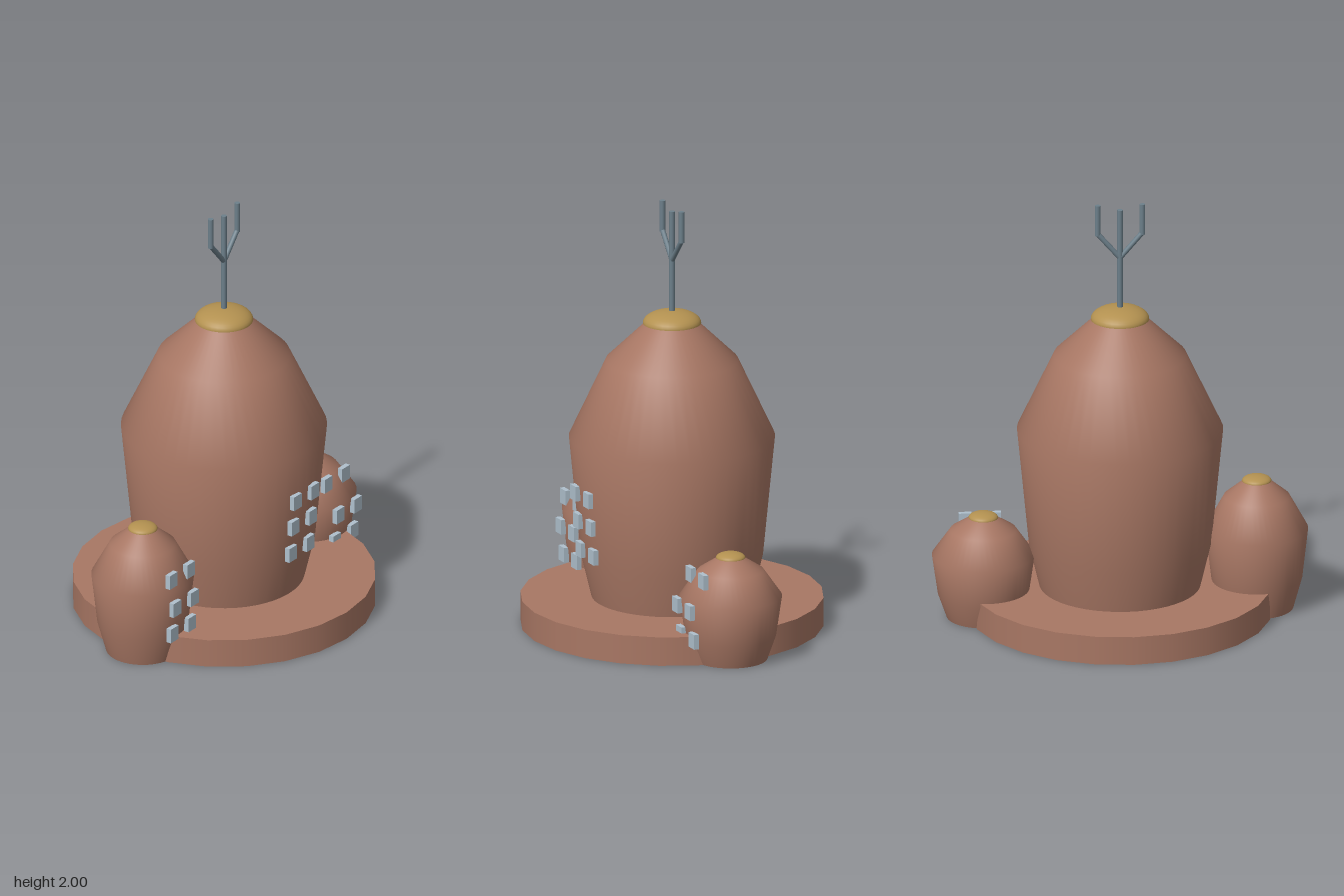
import * as THREE from 'three';

const clay = new THREE.MeshStandardMaterial({ color: 0xa87764 });
clay.name = 'clay';
const gold = new THREE.MeshStandardMaterial({ color: 0xb39150 });
gold.name = 'gold';
const glass = new THREE.MeshStandardMaterial({ color: 0xafc0cd });
glass.name = 'paleGlass';
const steel = new THREE.MeshStandardMaterial({ color: 0x6d808b });
steel.name = 'steel';

// Tower outline as fractions of the widest radius and the height
const PROFILE = [[0.715, 0], [0.885, 0.236], [1, 0.625], [0.642, 0.878], [0.26, 1]];

function add(parent, name, geometry, material, x = 0, y = 0, z = 0) {
  const mesh = new THREE.Mesh(geometry, material);
  mesh.name = name;
  mesh.position.set(x, y, z);
  parent.add(mesh);
  return mesh;
}

// Outline radius at a given height
function radiusAt(y, radius, height) {
  const t = y / height;
  for (let i = 1; i < PROFILE.length; i++) {
    const [r0, t0] = PROFILE[i - 1];
    const [r1, t1] = PROFILE[i];
    if (t <= t1) return radius * (r0 + (r1 - r0) * (t - t0) / (t1 - t0));
  }
  return 0;
}

function makeTower({ name, x, radius, height, capRadius, capHeight, rows }) {
  const tower = new THREE.Group();
  tower.name = name;
  tower.position.x = x;

  const points = PROFILE.map(([r, t]) => new THREE.Vector2(r * radius, t * height));
  add(tower, 'wall', new THREE.LatheGeometry(points, 48), clay);
  const foot = new THREE.CircleGeometry(PROFILE[0][0] * radius, 48).rotateX(Math.PI / 2);
  add(tower, 'foot', foot, clay);

  // Flattened dome with a closed underside
  const dome = new THREE.SphereGeometry(capRadius, 32, 10, 0, Math.PI * 2, 0, Math.PI / 2);
  dome.scale(1, capHeight / capRadius, 1);
  add(tower, 'cap', dome, gold, 0, height, 0);
  const under = new THREE.CircleGeometry(capRadius, 32).rotateX(Math.PI / 2);
  add(tower, 'capUnderside', under, gold, 0, height, 0);

  // Two columns of windows on the front
  for (const y of rows) {
    for (const side of [-1, 1]) {
      add(tower, 'window', new THREE.BoxGeometry(0.06, 0.07, 0.024), glass,
        side * 0.068, y, radiusAt(y, radius, height) + 0.008);
    }
  }
  return tower;
}

// Straight round rod between two points
function addRod(parent, name, from, to, r) {
  const a = new THREE.Vector3(...from);
  const b = new THREE.Vector3(...to);
  const dir = b.clone().sub(a);
  const rod = add(parent, name, new THREE.CylinderGeometry(r, r, dir.length(), 10), steel);
  rod.position.copy(a).add(b).multiplyScalar(0.5);
  rod.quaternion.setFromUnitVectors(new THREE.Vector3(0, 1, 0), dir.normalize());
}

export function createModel() {
  const model = new THREE.Group();
  model.name = 'towers';

  // Round plinth
  add(model, 'plinth', new THREE.CylinderGeometry(0.7, 0.7, 0.136, 24), clay, 0, 0.068, 0);

  model.add(
    makeTower({ name: 'mainTower', x: 0, radius: 0.475, height: 1.44,
      capRadius: 0.135, capHeight: 0.06, rows: [0.39, 0.53, 0.665] }),
    makeTower({ name: 'rightTower', x: -0.632, radius: 0.237, height: 0.62,
      capRadius: 0.068, capHeight: 0.026, rows: [0.17, 0.306, 0.444] }),
    makeTower({ name: 'leftTower', x: 0.632, radius: 0.237, height: 0.483,
      capRadius: 0.068, capHeight: 0.026, rows: [0.13, 0.27, 0.408] }),
  );

  // Three-pronged mast
  const mast = new THREE.Group();
  mast.name = 'mast';
  addRod(mast, 'pole', [0, 1.46, 0], [0, 1.975, 0], 0.0135);
  for (const s of [-1, 1]) {
    addRod(mast, 'branch', [0, 1.74, 0], [s * 0.103, 1.86, 0], 0.012);
    addRod(mast, 'prong', [s * 0.103, 1.852, 0], [s * 0.103, 2, 0], 0.0135);
  }
  model.add(mast);
  return model;
}
